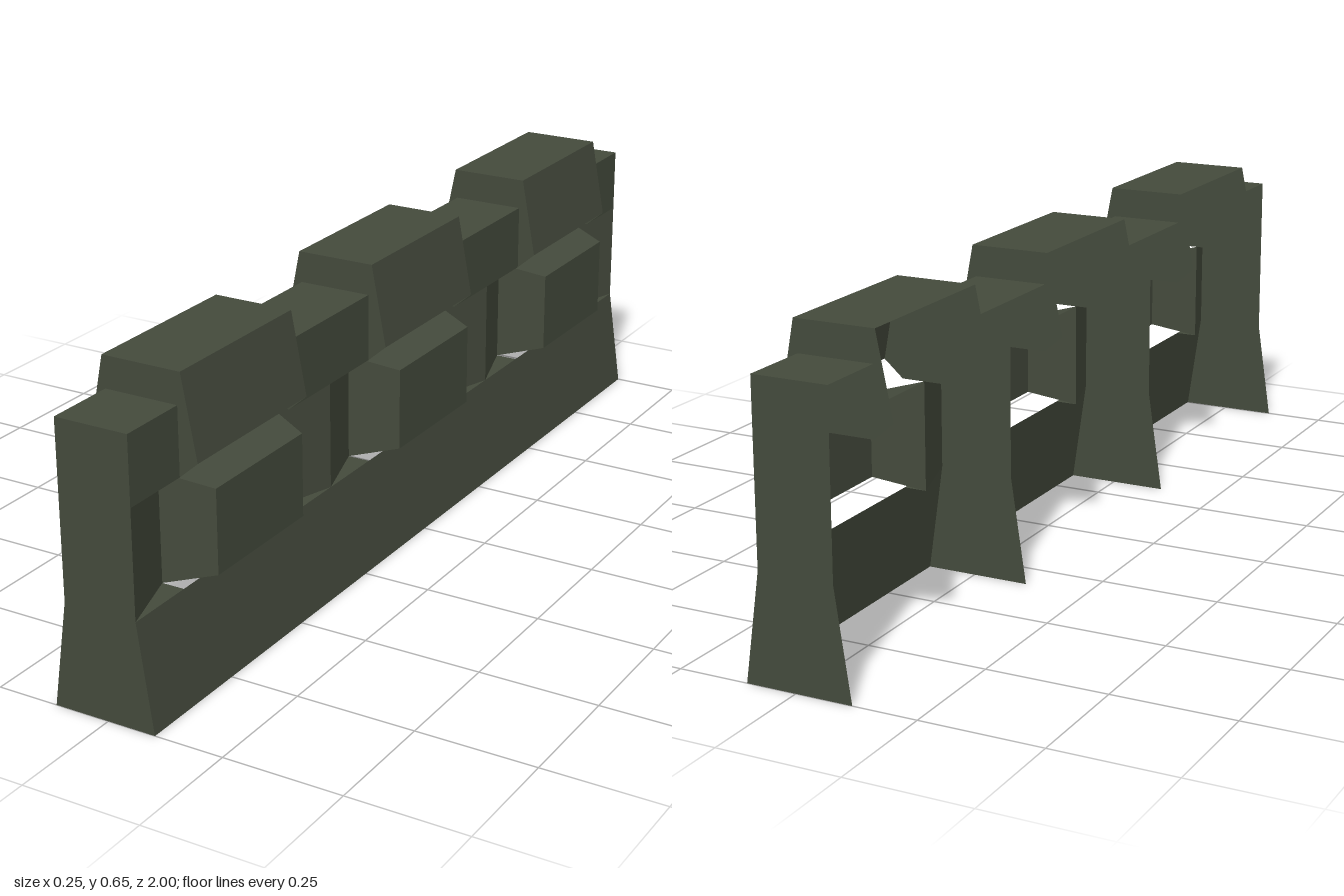
import * as THREE from 'three';

export function createModel() {
  const model = new THREE.Group();
  model.name = 'barrier';
  const olive = new THREE.MeshStandardMaterial({ color: 0x444a3c, side: THREE.DoubleSide });
  olive.name = 'dark olive';

  const add = (name, geometry, parent = model) => {
    const mesh = new THREE.Mesh(geometry, olive);
    mesh.name = name;
    parent.add(mesh);
    return mesh;
  };

  // flat convex polygon, corners counter-clockwise from outside
  const face = (...pts) => {
    const pos = [];
    for (let i = 1; i < pts.length - 1; i++) pos.push(...pts[0], ...pts[i], ...pts[i + 1]);
    const g = new THREE.BufferGeometry();
    g.setAttribute('position', new THREE.Float32BufferAttribute(pos, 3));
    g.computeVertexNormals();
    return g;
  };
  // strip running along z between two profile points
  const strip = ([xa, ya], [xb, yb], z0, z1) =>
    face([xa, ya, z1], [xa, ya, z0], [xb, yb, z0], [xb, yb, z1]);
  // upright cross plate
  const plate = (pts, z) =>
    new THREE.ShapeGeometry(new THREE.Shape(pts.map(p => new THREE.Vector2(...p)))).translate(0, 0, z);

  const X = 0.072, BACK = -0.085, IN = 0.024;   // pillar face, rear edge, recess depth
  const LOW = 0.222, MID = 0.445, TOP = 0.585;
  const HALF = 0.183, PITCH = 0.667;

  // sloping skirt along the whole length
  add('skirt', strip([0.104, 0], [X, LOW], -1, 1));

  // cross plates at the ends and between bays
  const ribShape = [[-0.118, 0], [0.104, 0], [X, LOW], [X, TOP], [BACK, TOP], [BACK, LOW]];
  for (const z of [-1, -PITCH / 2, PITCH / 2, 1]) add('rib', plate(ribShape, z));

  // pillars: flat upper band, with lower panels folding inward from the ridge
  const pillars = [[-1, -1, -PITCH - HALF], [-PITCH + HALF, -PITCH / 2, -HALF],
    [HALF, PITCH / 2, PITCH - HALF], [PITCH + HALF, 1, 1]];
  for (const [z0, ridge, z1] of pillars) {
    const pillar = new THREE.Group();
    pillar.name = 'pillar';
    model.add(pillar);
    add('pillarBand', strip([X, MID], [X, TOP], z0, z1), pillar);
    add('pillarTop', strip([X, TOP], [BACK, TOP], z0, z1), pillar);
    if (ridge < z1) {
      add('recessPanel', face([IN, LOW, z1], [X, LOW, ridge], [X, MID, ridge], [IN, MID, z1]), pillar);
      add('recessLedge', face([X, LOW, ridge], [IN, LOW, z1], [X, LOW, z1]), pillar);
    }
    if (ridge > z0) {
      add('recessPanel', face([X, LOW, ridge], [IN, LOW, z0], [IN, MID, z0], [X, MID, ridge]), pillar);
      add('recessLedge', face([X, LOW, ridge], [X, LOW, z0], [IN, LOW, z0]), pillar);
    }
  }

  // bays: protruding panel below, raised cap above
  const capShape = [[BACK, MID], [X, MID], [0.112, 0.48], [0.08, 0.65], [-0.09, 0.65], [-0.125, 0.48]];
  for (const z of [-PITCH, 0, PITCH]) {
    const bay = new THREE.Group();
    bay.name = 'bay';
    bay.position.z = z;
    model.add(bay);
    const OUT = 0.124, P = 0.146, B = 0.247, T = 0.42;
    add('panelFace', strip([OUT, B], [OUT, T], -P, P), bay);
    add('panelTop', face([OUT, T, P], [OUT, T, -P], [IN, MID, -HALF], [IN, MID, HALF]), bay);
    add('panelFrontSide', face([IN, LOW, HALF], [OUT, B, P], [OUT, T, P], [IN, MID, HALF]), bay);
    add('panelBackSide', face([OUT, B, -P], [IN, LOW, -HALF], [IN, MID, -HALF], [OUT, T, -P]), bay);

    add('capSide', strip([0.112, 0.48], [0.08, 0.65], -HALF, HALF), bay);
    add('capTop', strip([0.08, 0.65], [-0.09, 0.65], -HALF, HALF), bay);
    for (const s of [-1, 1]) add('capEnd', plate(capShape, s * HALF), bay);
  }
  return model;
}
